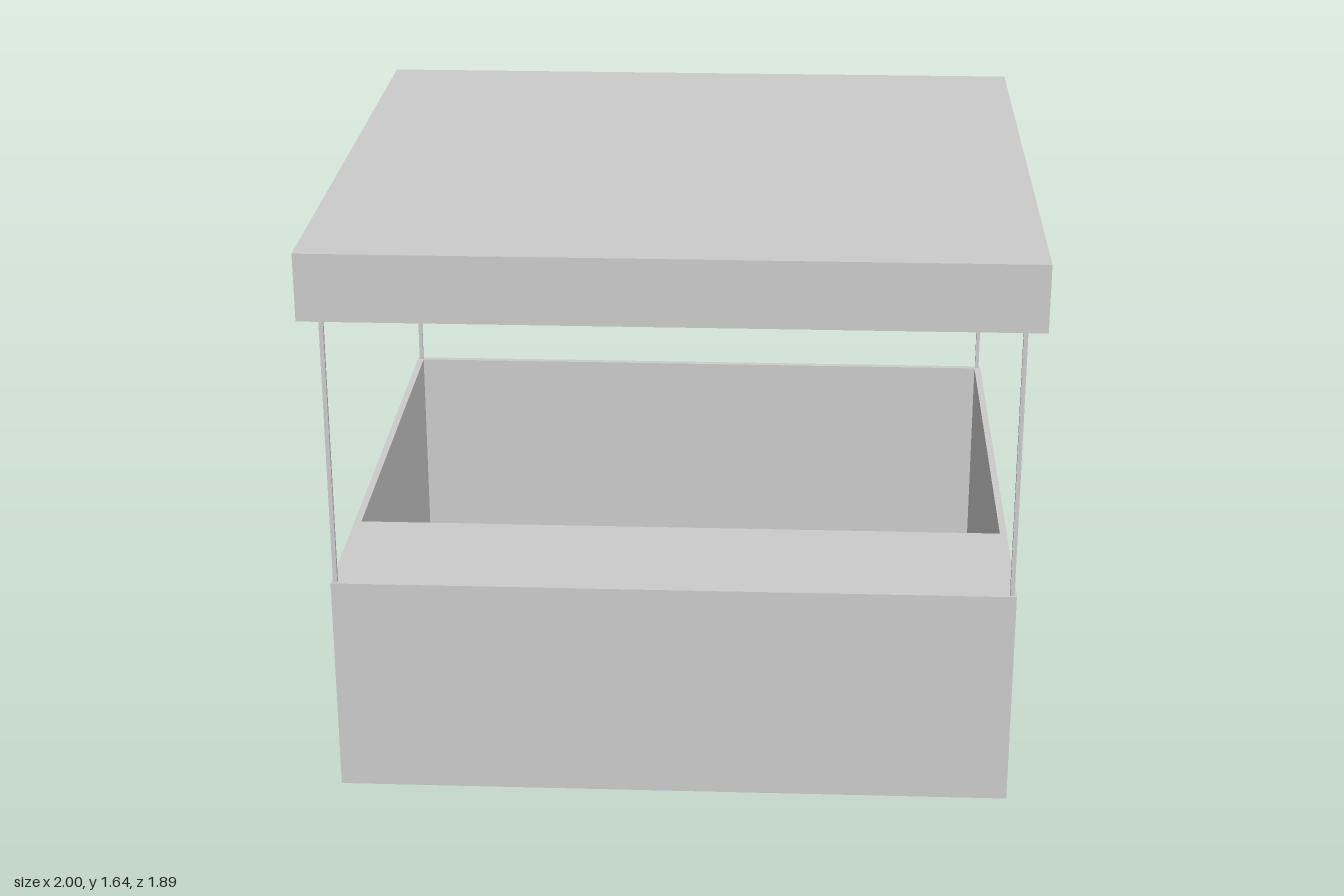
import * as THREE from 'three';

const material = new THREE.MeshStandardMaterial({ color: 0xcccccc, flatShading: true });

// Box given by its min and max corners
function block(name, [x0, y0, z0], [x1, y1, z1]) {
  const mesh = new THREE.Mesh(new THREE.BoxGeometry(x1 - x0, y1 - y0, z1 - z0), material);
  mesh.name = name;
  mesh.position.set((x0 + x1) / 2, (y0 + y1) / 2, (z0 + z1) / 2);
  return mesh;
}

// Rectangular ring in plan, with an opening, raised from y0 to y1
function frame(name, outer, inner, y0, y1) {
  // plan y runs along -z, so that the extrusion runs upwards
  const corners = ({ x, back, front }) => [
    new THREE.Vector2(-x, -front), new THREE.Vector2(x, -front),
    new THREE.Vector2(x, -back), new THREE.Vector2(-x, -back),
  ];
  const shape = new THREE.Shape(corners(outer));
  shape.holes.push(new THREE.Path(corners(inner).reverse()));
  const geometry = new THREE.ExtrudeGeometry(shape, { depth: y1 - y0, bevelEnabled: false });
  geometry.rotateX(-Math.PI / 2);
  const mesh = new THREE.Mesh(geometry, material);
  mesh.name = name;
  mesh.position.y = y0;
  return mesh;
}

export function createModel() {
  const stall = new THREE.Group();
  stall.name = 'marketStall';

  const baseTop = 0.643, roofBottom = 1.452, roofTop = 1.643, ceiling = 1.55;
  const floorTop = 0.02, counterEdge = 0.455;

  // Base: floor, with walls and a deep front counter around the open well
  const base = new THREE.Group();
  base.name = 'base';
  base.add(
    block('floor', [-0.96, 0, -0.896], [0.96, floorTop, 0.874]),
    frame('wallsAndCounter',
      { x: 0.96, back: -0.896, front: 0.874 },
      { x: 0.94, back: -0.876, front: counterEdge }, floorTop, baseTop),
  );
  stall.add(base);

  // Four thin corner posts
  const post = 0.006;
  for (const x of [-0.948, 0.948]) {
    for (const z of [-0.885, 0.861]) {
      stall.add(block('post', [x - post, baseTop, z - post], [x + post, roofBottom + 0.01, z + post]));
    }
  }

  // Roof: slab with a rim around the recessed underside
  const roof = new THREE.Group();
  roof.name = 'roof';
  roof.add(
    block('roofSlab', [-1, ceiling, -0.944], [1, roofTop, 0.944]),
    frame('roofRim',
      { x: 1, back: -0.944, front: 0.944 },
      { x: 0.942, back: -0.886, front: 0.886 }, roofBottom, ceiling),
  );
  stall.add(roof);

  return stall;
}
